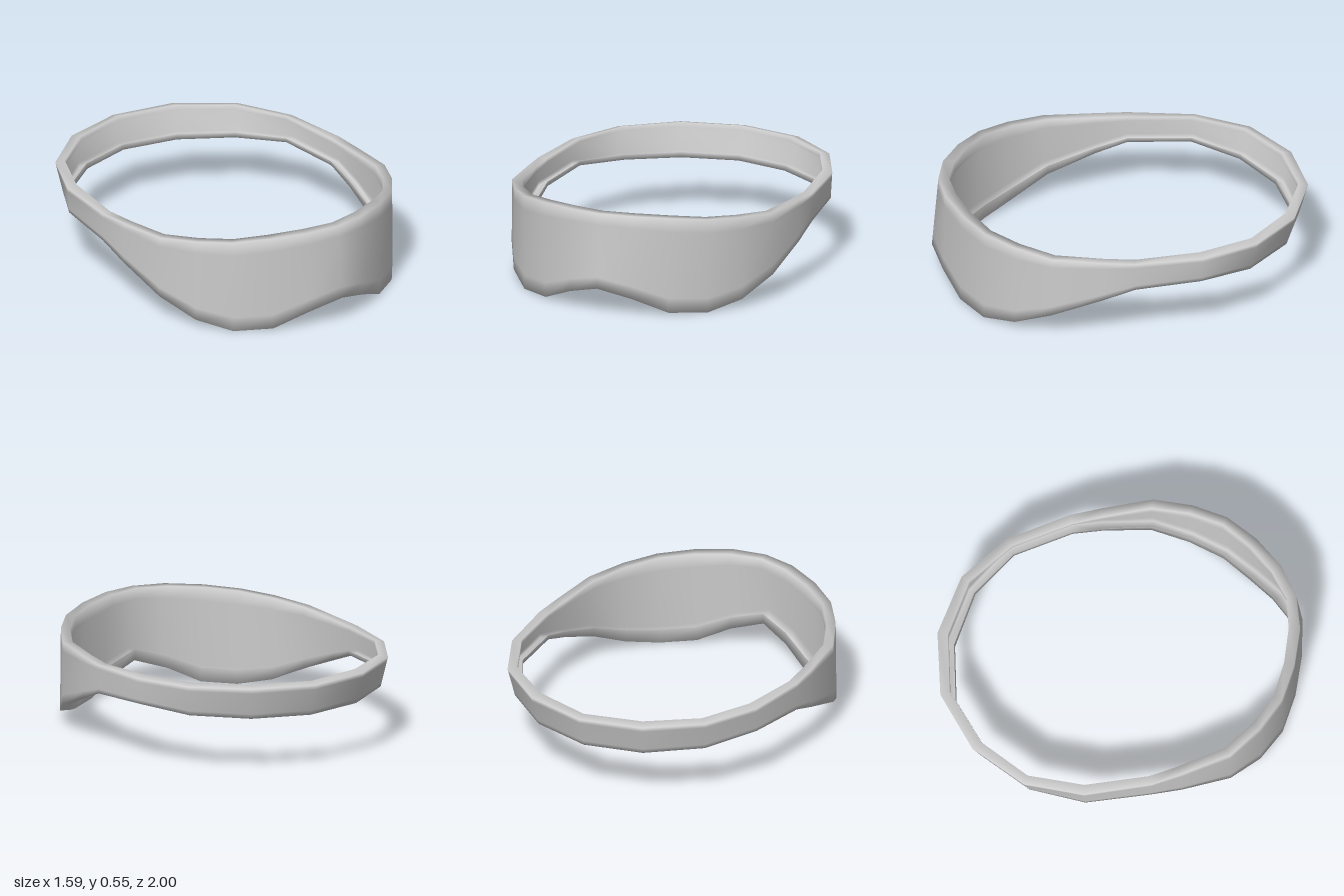
import * as THREE from 'three';

// Stations along the +x half, from the front centre to the back centre: [x, y, z]
const outerTop = [
  [0, 0.55, 0.965], [0.18, 0.547, 0.935], [0.37, 0.535, 0.85], [0.535, 0.517, 0.735],
  [0.655, 0.5, 0.58], [0.752, 0.48, 0.388], [0.782, 0.47, 0.11], [0.793, 0.467, -0.06],
  [0.752, 0.472, -0.42], [0.61, 0.475, -0.71], [0.34, 0.475, -0.92], [0, 0.472, -1],
];
const outerBottom = [
  [0, 0.142, 1], [0.18, 0.09, 0.945], [0.355, 0.011, 0.86], [0.53, 0, 0.74],
  [0.66, 0.045, 0.58], [0.755, 0.138, 0.388], [0.786, 0.246, 0.11], [0.79, 0.31, -0.06],
  [0.747, 0.332, -0.41], [0.585, 0.308, -0.675], [0.32, 0.3, -0.875], [0, 0.297, -0.95],
];
// Upper edge of the inner side in plan: [x, z]
const innerTop = [
  [0, 0.91], [0.17, 0.875], [0.345, 0.8], [0.5, 0.7], [0.615, 0.55], [0.705, 0.365],
  [0.732, 0.11], [0.742, -0.06], [0.702, -0.405], [0.57, -0.68], [0.315, -0.87], [0, -0.95],
];
const EDGE = 0.15; // share of the height taken by each rounded border

// Open C-shaped cross-section at station k: inner lower lip, outer face, inner
// upper lip; side is 1 or -1 for mirroring
function section(k, side) {
  const top = new THREE.Vector3(...outerTop[k]);
  const bottom = new THREE.Vector3(...outerBottom[k]);
  const [ix, iz] = innerTop[k];
  const inTop = new THREE.Vector3(ix, top.y + (k > 7 ? 0.012 : 0), iz);
  const inBottom = new THREE.Vector3(
    ix + (bottom.x - top.x) * 0.8, bottom.y + 0.004, iz + (bottom.z - top.z) * 0.8);
  const points = [
    inBottom.clone().lerp(inTop, EDGE), inBottom,
    bottom, bottom.clone().lerp(top, EDGE), top.clone().lerp(bottom, EDGE), top,
    inTop, inTop.clone().lerp(inBottom, EDGE),
  ];
  points.forEach((p) => { p.x *= side; });
  return points;
}

// Closed smooth skin through a ring of point rows
function skin(rows) {
  const n = rows.length;
  const m = rows[0].length;
  const index = [];
  for (let i = 0; i < n; i++) {
    for (let j = 0; j < m - 1; j++) {
      const a = i * m + j;
      const b = ((i + 1) % n) * m + j;
      index.push(a, b, b + 1, a, b + 1, a + 1);
    }
  }
  const geometry = new THREE.BufferGeometry().setFromPoints(rows.flat());
  geometry.setIndex(index);
  geometry.computeVertexNormals();
  return geometry;
}

export function createModel() {
  const group = new THREE.Group();
  group.name = 'eyeBand';

  // Full ring: +x half, then the mirrored half back to the front
  const last = outerTop.length - 1;
  const ring = [];
  for (let k = 0; k <= last; k++) ring.push(section(k, 1));
  for (let k = last - 1; k > 0; k--) ring.push(section(k, -1));

  // Thin shell whose rims fold over onto the hollow inner side
  const material = new THREE.MeshStandardMaterial({ color: 0xcccccc, side: THREE.DoubleSide });
  const band = new THREE.Mesh(skin(ring), material);
  band.name = 'bandWithFoldedRims';
  group.add(band);
  return group;
}
